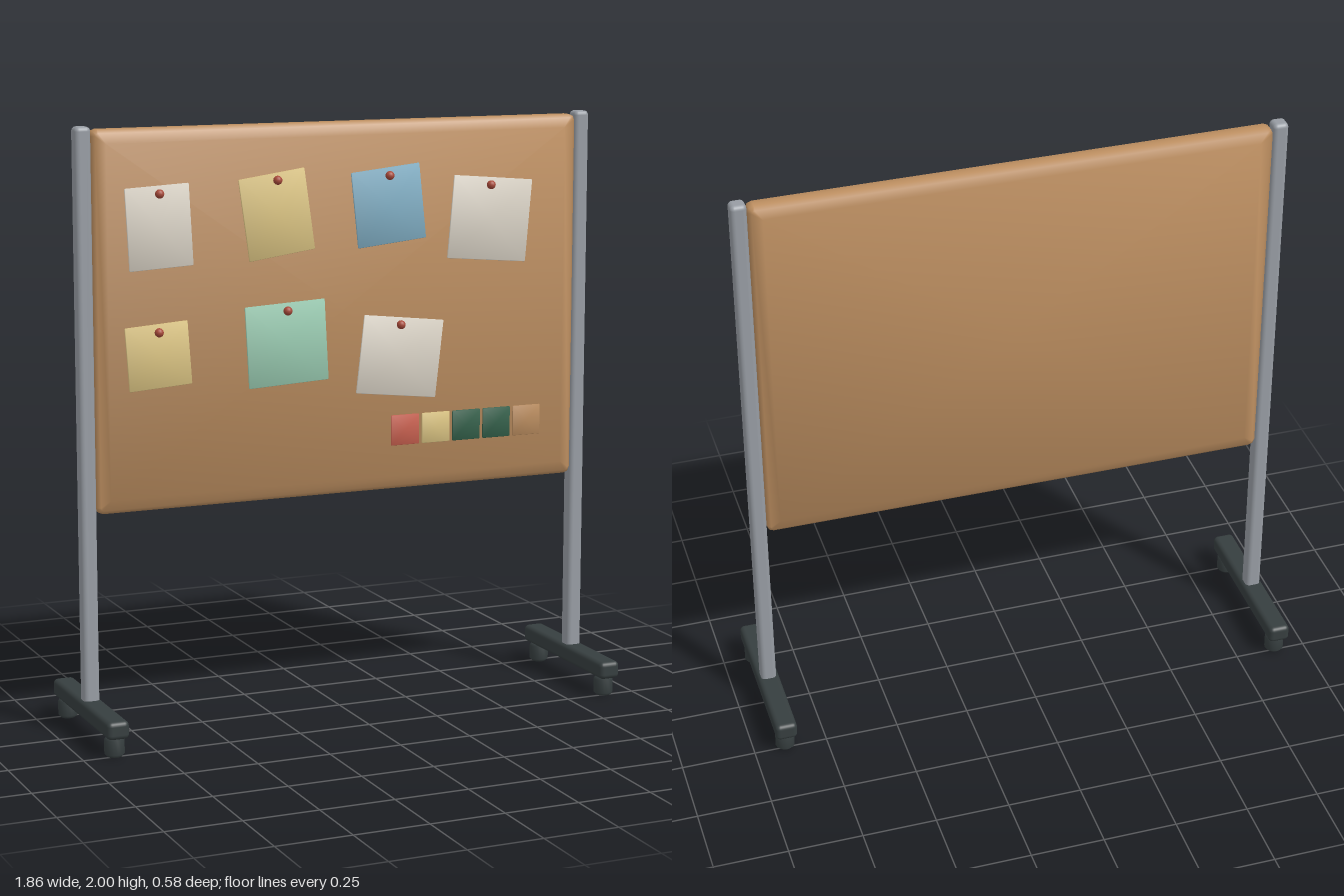
import * as THREE from 'three';
import { RoundedBoxGeometry } from 'three/addons/geometries/RoundedBoxGeometry.js';

const mat = (name, color) => {
  const m = new THREE.MeshStandardMaterial({ color });
  m.name = name;
  return m;
};

// Slab with softened edges, built from rounded-rectangle rings [inset, z, edge angle].
// Face normals lean gently outward so the flat sides shade smoothly.
function softSlab(w, h, radius, rings, lean) {
  const pos = [], nor = [], idx = [], n = 12;
  const push = (x, y, z, nx, ny, nz) => {
    const l = Math.hypot(nx, ny, nz);
    pos.push(x, y, z);
    nor.push(nx / l, ny / l, nz / l);
  };
  rings.forEach(([inset, z, angle], k) => {
    const hw = w / 2 - inset, hh = h / 2 - inset, r = Math.max(radius - inset, 0.001);
    for (let i = 0; i < n; i++) {
      const q = Math.floor(i / 3), a = (q + (i % 3) / 2) * Math.PI / 2;
      const sx = q === 0 || q === 3 ? 1 : -1, sy = q < 2 ? 1 : -1;
      const c = Math.cos(a), s = Math.sin(a);
      const x = sx * (hw - r) + c * r, y = sy * (hh - r) + s * r;
      if (k === 0 || k === rings.length - 1) push(x, y, z, lean * x / hw, lean * y / hh, Math.sign(z - rings[(rings.length - 1) >> 1][1]) || 1);
      else push(x, y, z, c * Math.cos(angle), s * Math.cos(angle), Math.sin(angle));
    }
  });
  for (let k = 0; k < rings.length - 1; k++) {
    for (let i = 0; i < n; i++) {
      const a = k * n + i, b = k * n + (i + 1) % n;
      idx.push(a, b, b + n, a, b + n, a + n);
    }
  }
  // Back and front faces
  const back = rings.length * n, front = back + 1, last = (rings.length - 1) * n;
  push(0, 0, rings[0][1], 0, 0, -1);
  push(0, 0, rings[rings.length - 1][1], 0, 0, 1);
  for (let i = 0; i < n; i++) {
    const j = (i + 1) % n;
    idx.push(back, j, i, front, last + i, last + j);
  }
  const g = new THREE.BufferGeometry();
  g.setAttribute('position', new THREE.Float32BufferAttribute(pos, 3));
  g.setAttribute('normal', new THREE.Float32BufferAttribute(nor, 3));
  g.setIndex(idx);
  return g;
}

export function createModel() {
  const group = new THREE.Group();
  group.name = 'pinBoard';
  const M = {
    cork: mat('cork', 0xbb8d5f), white: mat('whitePaper', 0xdcd5c8),
    yellow: mat('yellowPaper', 0xdcc583), blue: mat('bluePaper', 0x82b0c6),
    mint: mat('mintPaper', 0x9accb2), pin: mat('pinRed', 0xa84a3a),
    coral: mat('coral', 0xc9604f), green: mat('darkGreen', 0x33604a),
    metal: mat('metal', 0x979ca3), rubber: mat('darkRubber', 0x363e3f),
  };
  const add = (name, geo, material, x, y, z, parent = group) => {
    const mesh = new THREE.Mesh(geo, material);
    mesh.name = name;
    mesh.position.set(x, y, z);
    parent.add(mesh);
    return mesh;
  };

  // Cork board with a rounded rim
  add('board', softSlab(1.73, 1.245, 0.022, [
    [0.045, -0.033, 0], [0.012, -0.028, -1.1], [0, -0.017, -0.3], [0, 0, 0],
    [0, 0.017, 0.3], [0.012, 0.028, 1.1], [0.045, 0.033, 0],
  ], 0.3), M.cork, 0, 1.3675, 0);

  // Stands: post, foot bar and two casters on each side
  const caster = new THREE.LatheGeometry(
    [[0, 0], [0.024, 0], [0.033, 0.01], [0.033, 0.057], [0.024, 0.068], [0, 0.068]]
      .map(([r, y]) => new THREE.Vector2(r, y)), 16);
  for (const side of [-1, 1]) {
    const stand = new THREE.Group();
    stand.name = side > 0 ? 'leftStand' : 'rightStand';
    stand.position.x = side * 0.892;
    group.add(stand);
    add('post', new RoundedBoxGeometry(0.053, 1.9, 0.055, 3, 0.015), M.metal, 0, 1.05, 0, stand);
    add('foot', new RoundedBoxGeometry(0.074, 0.06, 0.58, 3, 0.016), M.rubber, 0, 0.095, 0, stand);
    for (const z of [-0.24, 0.24]) add('caster', caster, M.rubber, 0, 0, z, stand);
  }

  // Pinned papers: x, y, width, height, tilt in degrees, material, pin height
  const pinGeo = new THREE.SphereGeometry(0.015, 16, 10);
  const sheet = [[0.002, -0.004, 0], [0, 0, 0], [0.002, 0.004, 0]];
  [
    [-0.645, 1.672, 0.22, 0.268, 3, M.white, 1.78],
    [-0.237, 1.695, 0.235, 0.272, 8, M.yellow, 1.808],
    [0.164, 1.708, 0.25, 0.253, 6, M.blue, 1.808],
    [0.539, 1.648, 0.295, 0.28, -5, M.white, 1.763],
    [-0.652, 1.254, 0.217, 0.21, 4, M.yellow, 1.332],
    [-0.203, 1.267, 0.285, 0.272, 3, M.mint, 1.377],
    [0.207, 1.198, 0.295, 0.265, -6.5, M.white, 1.307],
  ].forEach(([x, y, w, h, deg, m, pinY]) => {
    add('paper', softSlab(w, h, 0.004, sheet, 0.3), m, x, y, 0.034)
      .rotation.z = THREE.MathUtils.degToRad(deg);
    add('pin', pinGeo, M.pin, x, pinY, 0.043);
  });

  // Row of small colour cards
  const card = softSlab(0.105, 0.104, 0.004, sheet, 0.3);
  [M.coral, M.yellow, M.green, M.green, M.cork].forEach((m, i) =>
    add('colourCard', card, m, 0.227 + i * 0.1145, 0.947, 0.034));

  return group;
}
